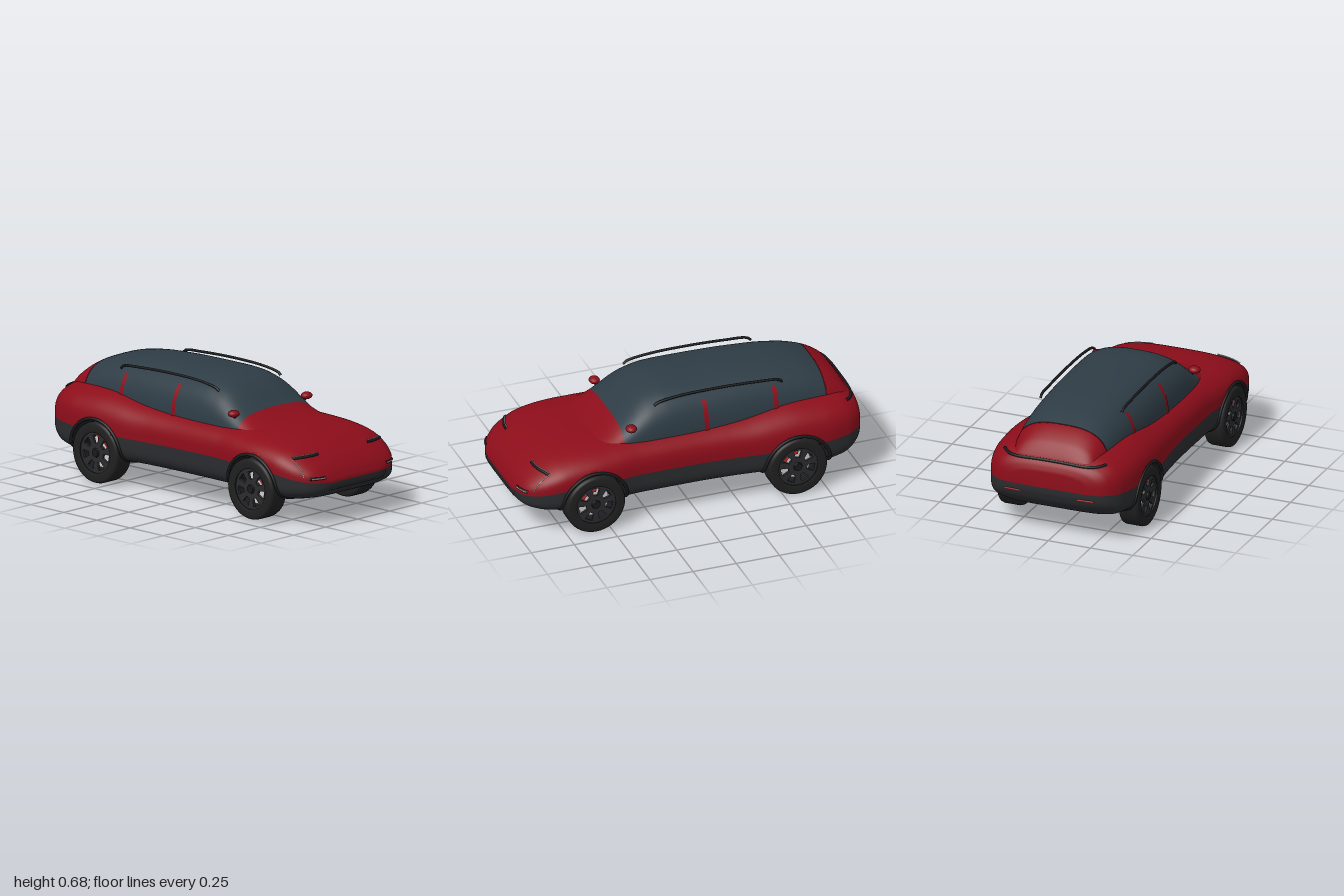
import * as THREE from 'three';

const mat = (color, side = THREE.FrontSide) => new THREE.MeshStandardMaterial({ color, side });
const RED = mat(0x8c0d1a), GLASS = mat(0x2e3c45), DARK = mat(0x2b2c2f), BLACK = mat(0x191a1c), TYRE = mat(0x202020);
const SILVER = mat(0xc8c8c8), CALIPER = mat(0xc02626), LINER = mat(0x1c1d1f, THREE.DoubleSide);
const GRILLE = mat(0x25282c, THREE.DoubleSide);

// Smooth curve through a few [x, value] points, without overshoot
function curve(p) {
  const d = p.slice(1).map((q, i) => (q[1] - p[i][1]) / (q[0] - p[i][0]));
  const m = p.map((_, i) => i === 0 ? d[0] : i === d.length ? d[i - 1]
    : d[i - 1] * d[i] > 0 ? 2 * d[i - 1] * d[i] / (d[i - 1] + d[i]) : 0);
  return x => {
    let i = 0;
    while (i < d.length - 1 && x > p[i + 1][0]) i++;
    const h = p[i + 1][0] - p[i][0], t = Math.min(1, Math.max(0, (x - p[i][0]) / h)), s = 1 - t;
    return p[i][1] * (1 + 2 * t) * s * s + h * m[i] * t * s * s + p[i + 1][1] * t * t * (3 - 2 * t) - h * m[i + 1] * t * t * s;
  };
}

// Body: half width, top, waist (colour split) and bottom along the length
const width = curve([[-1, .22], [-.985, .29], [-.95, .345], [-.88, .39], [-.75, .417], [-.6, .422], [-.45, .418], [-.2, .395],
  [0, .388], [.3, .39], [.45, .405], [.6, .416], [.75, .41], [.85, .387], [.93, .34], [.975, .28], [1, .18]]);
const top = curve([[-1, .4], [-.985, .44], [-.95, .475], [-.85, .51], [-.6, .525], [-.3, .495], [0, .485], [.3, .482],
  [.5, .472], [.65, .46], [.77, .435], [.87, .39], [.94, .34], [.98, .295], [1, .255]]);
const waist = curve([[-1, .31], [-.8, .3], [-.3, .29], [.3, .295], [.7, .29], [.9, .26], [1, .24]]);
const bottom = curve([[-1, .28], [-.98, .23], [-.93, .18], [-.86, .145], [-.7, .13], [.8, .13], [.92, .15], [.97, .175], [1, .215]]);
const N_UP = 3.1, N_LOW = 4.5;
// Cabin: roof line and half width
const roof = curve([[-.97, .44], [-.945, .49], [-.9, .55], [-.8, .612], [-.68, .65], [-.5, .674], [-.25, .684], [0, .685],
  [.1, .68], [.2, .655], [.27, .617], [.33, .568], [.38, .527], [.45, .493], [.55, .463], [.65, .43]]);
const cabinWidth = curve([[-.97, .24], [-.8, .272], [-.5, .295], [-.1, .31], [.2, .312], [.4, .305], [.65, .3]]);

const spow = (v, n) => Math.sign(v) * Math.abs(v) ** (2 / n);
const arcSection = (w, base, h, n, t) => [base + h * Math.abs(spow(Math.sin(t), n)), w * spow(Math.cos(t), n)];
const upperSec = (x, t) => arcSection(width(x), waist(x), top(x) - waist(x), N_UP, t);
const lowerSec = (x, t) => arcSection(width(x), waist(x), bottom(x) - waist(x), N_LOW, t);
const cabinSec = (x, t) => arcSection(cabinWidth(x), .4, roof(x) - .4, 2.8, t);

// Half width of the body at a height; negative when the height is outside
function sideZ(x, y) {
  const up = y > waist(x), n = up ? N_UP : N_LOW;
  const r = (y - waist(x)) / ((up ? top(x) : bottom(x)) - waist(x));
  return r > 1 ? -1 : width(x) * (1 - r ** n) ** (1 / n);
}
const topY = (x, z) => waist(x) + (top(x) - waist(x)) * Math.max(0, 1 - (Math.abs(z) / width(x)) ** N_UP) ** (1 / N_UP);
// Position of the nose (dir 1) or tail (dir -1) surface
function endX(y, z, dir) {
  let x = 1;
  while (x > .5 && sideZ(dir * x, y) < Math.abs(z)) x -= .001;
  return dir * x;
}

const AXLES = [-.58, .59], WHEEL_Y = .172, ARCH = .19, WELL_Z = .26;

// Skin lofted along x; cut opens the wheel arches, cap gives the height of the closed ends
function loft(sec, xs, t0, t1, m, { cut = false, cap = null } = {}) {
  const pos = [], idx = [], inside = [], rows = xs.length + (cap ? 2 : 0);
  for (let r = 0; r < rows; r++) {
    const i = Math.min(xs.length - 1, Math.max(0, cap ? r - 1 : r));
    const isCap = cap && (r === 0 || r === rows - 1);
    for (let j = 0; j <= m; j++) {
      let x = xs[i], [y, z] = isCap ? [cap(x), 0] : sec(x, t0 + (t1 - t0) * j / m), hole = false;
      if (cut && Math.abs(z) > WELL_Z) for (const a of AXLES) {
        const d = Math.hypot(x - a, y - WHEEL_Y);
        if (d < ARCH + .009) hole = true;
        if (Math.abs(d - ARCH) < .009) { x = a + (x - a) * ARCH / d; y = WHEEL_Y + (y - WHEEL_Y) * ARCH / d; }
      }
      pos.push(x, y, z); inside.push(hole);
    }
  }
  const tri = (a, b, c) => { if (!(inside[a] && inside[b] && inside[c])) idx.push(a, b, c); };
  for (let r = 0; r < rows - 1; r++) for (let j = 0; j < m; j++) {
    const a = r * (m + 1) + j, b = a + m + 1;
    tri(a, b, b + 1); tri(a, b + 1, a + 1);
  }
  const g = new THREE.BufferGeometry();
  g.setAttribute('position', new THREE.Float32BufferAttribute(pos, 3));
  g.setIndex(idx);
  g.computeVertexNormals();
  return g;
}
const range = (a, b, n) => Array.from({ length: n + 1 }, (_, i) => a + (b - a) * i / n);
const tube = (pts, r, seg = 32) => new THREE.TubeGeometry(
  new THREE.CatmullRomCurve3(pts.map(p => new THREE.Vector3(...p))), seg, r, 8);

function makeWheel(add) {
  const ring = (pts, n = 48) => new THREE.LatheGeometry(pts.map(p => new THREE.Vector2(...p)), n).rotateX(Math.PI / 2);
  add('tyre', ring([[.112, -.056], [.125, -.06], [.155, -.06], [.166, -.054], [.17, -.042], [.17, .042], [.166, .054],
    [.155, .06], [.125, .06], [.112, .056]]), TYRE);
  add('rimBarrel', ring([[.114, -.056], [.108, 0], [.114, .056]]), LINER);
  // Spoked rim face: a disc with seven openings
  const face = new THREE.Shape().absarc(0, 0, .116, 0, Math.PI * 2);
  for (let k = 0; k < 7; k++) {
    const a = Math.PI / 2 + k * Math.PI * 2 / 7, h = new THREE.Path();
    h.absarc(0, 0, .098, a - .24, a + .24, false);
    h.absarc(0, 0, .055, a + .2, a - .2, true);
    h.closePath();
    face.holes.push(h);
  }
  add('rimSpokes', new THREE.ExtrudeGeometry(face, { depth: .014, bevelEnabled: false, curveSegments: 24 }).translate(0, 0, .034), DARK);
  add('hubCap', new THREE.CylinderGeometry(.022, .026, .01, 24).rotateX(Math.PI / 2).translate(0, 0, .052), BLACK);
  add('brakeDisc', new THREE.CylinderGeometry(.09, .09, .012, 40).rotateX(Math.PI / 2).translate(0, 0, -.005), SILVER);
  add('axle', new THREE.CylinderGeometry(.03, .03, .08, 20).rotateX(Math.PI / 2).translate(0, 0, -.03), DARK);
  const c = new THREE.Shape().absarc(0, 0, .104, .35, 1.75, false).absarc(0, 0, .06, 1.75, .35, true);
  add('brakeCaliper', new THREE.ExtrudeGeometry(c, { depth: .03, bevelEnabled: false }).translate(0, 0, -.012), CALIPER);
}

export function createModel() {
  const car = new THREE.Group();
  car.name = 'car';
  const adder = parent => (name, geo, material) => {
    const m = new THREE.Mesh(geo, material);
    m.name = name;
    parent.add(m);
    return m;
  };
  const add = adder(car), PI = Math.PI;

  // Body shell and cabin
  const xs = range(0, 1, 200).map(u => .5 * (2 * u - 1) - .5 * Math.cos(PI * u));
  add('upperBody', loft(upperSec, xs, 0, PI, 64, { cut: true, cap: waist }), RED);
  add('lowerBody', loft(lowerSec, xs, -PI, 0, 64, { cut: true, cap: waist }), DARK);
  add('tailgate', loft(cabinSec, range(-.97, -.8, 20), 0, PI, 48, { cap: () => .4 }), RED);
  add('glasshouse', loft(cabinSec, range(-.8, .38, 70), 0, PI, 48), GLASS);
  add('cowl', loft(cabinSec, range(.38, .65, 20), 0, PI, 48), RED);

  // Door pillars
  const pillarSec = (x, t) => { const [y, z] = cabinSec(x, t); return [y, z * 1.014]; };
  for (const x of [-.5, -.09]) for (const t of [.08, PI - .72])
    add('doorPillar', loft(pillarSec, range(x - .013, x + .013, 2), t, t + .64, 12), RED);

  for (const s of [1, -1]) {
    const side = s > 0 ? 'left' : 'right';
    for (const a of AXLES) {
      // Wheel
      const wheel = new THREE.Group();
      wheel.name = (a > 0 ? 'front' : 'rear') + 'Wheel';
      wheel.position.set(a, WHEEL_Y, s * .36);
      makeWheel(adder(wheel));
      if (s < 0) wheel.scale.z = -1;
      car.add(wheel);
      // Wheel well with liner, inner wall and arch trim
      const t0 = -.21, pts = [];
      const linerSec = (i, t) => {
        const x = a + ARCH * Math.cos(t), y = WHEEL_Y + ARCH * Math.sin(t);
        return [x, y, s * (i ? Math.max(WELL_Z + .01, sideZ(x, y)) : WELL_Z)];
      };
      const liner = loft(() => [0, 0], [0, 1], 0, 1, 40);
      for (let i = 0; i < 2; i++) for (let j = 0; j <= 40; j++) {
        const p = linerSec(i, t0 + (PI - 2 * t0) * j / 40);
        liner.attributes.position.setXYZ(i * 41 + j, ...p);
        if (i) pts.push(p);
      }
      liner.computeVertexNormals();
      add('wheelWell', liner, LINER);
      const wall = new THREE.Shape().absarc(a, WHEEL_Y, ARCH, t0, PI - t0, false);
      add('wheelWellWall', new THREE.ShapeGeometry(wall, 32).translate(0, 0, s * WELL_Z), LINER);
      add('archTrim', tube(pts, .009, 60), BLACK);
    }

    // Roof rail
    add(side + 'RoofRail', tube([[-.55, .622, s * .24], [-.53, .638, s * .243], [-.4, .65, s * .243], [-.18, .658, s * .243],
      [.05, .653, s * .243], [.17, .634, s * .243], [.19, .62, s * .24]], .0075), BLACK);
    // Door mirror
    add(side + 'Mirror', new THREE.SphereGeometry(1, 24, 16).scale(.03, .02, .034).translate(.34, .528, s * .285), RED);
    add(side + 'MirrorArm', tube([[.33, .48, s * .262], [.335, .5, s * .268], [.34, .52, s * .28]], .008, 8), DARK);

    // Headlight strip with a light line
    const onHood = (dz, up) => range(0, 1, 8).map(u => {
      const z = .19 + .15 * u, x = .882 - .045 * u * u;
      return [x + dz, topY(x + dz, z) + up, s * z];
    });
    add(side + 'Headlight', tube(onHood(0, .001), .008), BLACK);
    add(side + 'HeadlightLine', tube(onHood(-.004, .008), .0025), SILVER);

    // Fog lamp and vertical bumper line
    const onNose = (z, y, off) => [endX(y, z, 1) + off, y, s * z];
    add(side + 'FogLampFrame', tube(range(.235, .32, 6).map(z => onNose(z, .272, 0)), .008, 16), BLACK);
    add(side + 'FogLamp', tube(range(.24, .315, 6).map(z => onNose(z, .272, .006)), .004, 16), SILVER);
    add(side + 'BumperLine', tube(range(.28, .37, 6).map(y => onNose(.342, y, 0)), .002, 16), SILVER);

    // Rear reflector
    add(side + 'RearReflector', tube(range(.17, .26, 5).map(z => [endX(.27, z, -1), .27, s * z]), .006, 12), CALIPER);
  }

  // Lower grille following the nose
  const grille = new THREE.PlaneGeometry(.44, .04, 30, 6), gp = grille.attributes.position;
  for (let i = 0; i < gp.count; i++) {
    const z = gp.getX(i) * (1 + gp.getY(i) * 2), y = .218 + gp.getY(i);
    gp.setXYZ(i, endX(y, z, 1) + .005, y, z);
  }
  grille.computeVertexNormals();
  add('grille', grille, GRILLE);

  // Tail light strip wrapping round the rear corners
  const tail = range(-1, 1, 24).map(u => {
    const z = .3 * u, x = -.968 + .07 * Math.abs(u) ** 6;
    return [x, topY(x, z) + .001, z];
  });
  add('tailLight', tube(tail, .008, 60), BLACK);

  return car;
}
